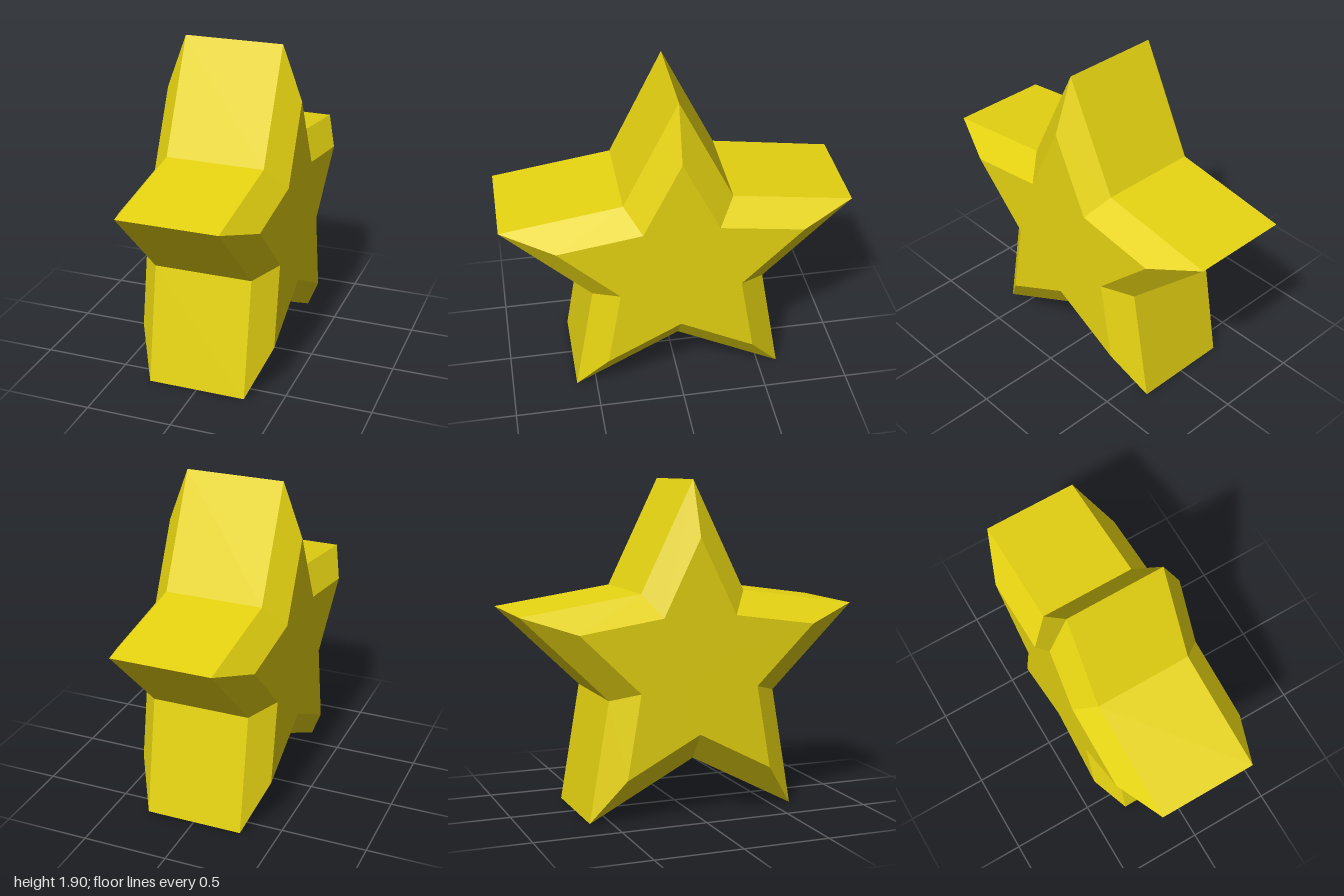
import * as THREE from 'three';

const RADIUS = 1.0515;   // star tip radius
const CENTER_Y = 0.8507; // height of the star centre
const FACE_SCALE = 0.7;  // bevelled faces are a smaller copy of the outline
const HALF_BAND = 0.288;
const HALF_DEPTH = 0.404;

// Ten-point star outline in the plane at x
function starRing(x, scale) {
  return Array.from({ length: 10 }, (_, i) => {
    const a = (i * Math.PI) / 5;
    const r = RADIUS * scale * (i % 2 ? 0.5 : 1);
    return [x, CENTER_Y + r * Math.cos(a), r * Math.sin(a)];
  });
}

function flatGeometry(triangles) {
  const geometry = new THREE.BufferGeometry();
  geometry.setAttribute('position', new THREE.Float32BufferAttribute(triangles.flat(), 3));
  geometry.computeVertexNormals();
  return geometry;
}

// Wall joining two rings, low x to high x
function wall(lo, hi) {
  const t = [];
  for (let i = 0; i < 10; i++) {
    const j = (i + 1) % 10;
    t.push(lo[i], lo[j], hi[j], lo[i], hi[j], hi[i]);
  }
  return flatGeometry(t);
}

// Flat star face, fanned from its centre
function cap(ring, side) {
  const centre = [ring[0][0], CENTER_Y, 0];
  const t = [];
  for (let i = 0; i < 10; i++) {
    const a = ring[i], b = ring[(i + 1) % 10];
    t.push(centre, ...(side > 0 ? [a, b] : [b, a]));
  }
  return flatGeometry(t);
}

export function createModel() {
  const group = new THREE.Group();
  group.name = 'star';
  const yellow = new THREE.MeshStandardMaterial({ color: 0xecd912, flatShading: true });
  yellow.name = 'yellow';

  const add = (name, geometry) => {
    const mesh = new THREE.Mesh(geometry, yellow);
    mesh.name = name;
    group.add(mesh);
  };

  const rightFace = starRing(-HALF_DEPTH, FACE_SCALE);
  const rightRim = starRing(-HALF_BAND, 1);
  const leftRim = starRing(HALF_BAND, 1);
  const leftFace = starRing(HALF_DEPTH, FACE_SCALE);

  add('outerBand', wall(rightRim, leftRim));
  add('rightBevel', wall(rightFace, rightRim));
  add('leftBevel', wall(leftRim, leftFace));
  add('rightFace', cap(rightFace, -1));
  add('leftFace', cap(leftFace, 1));
  return group;
}
